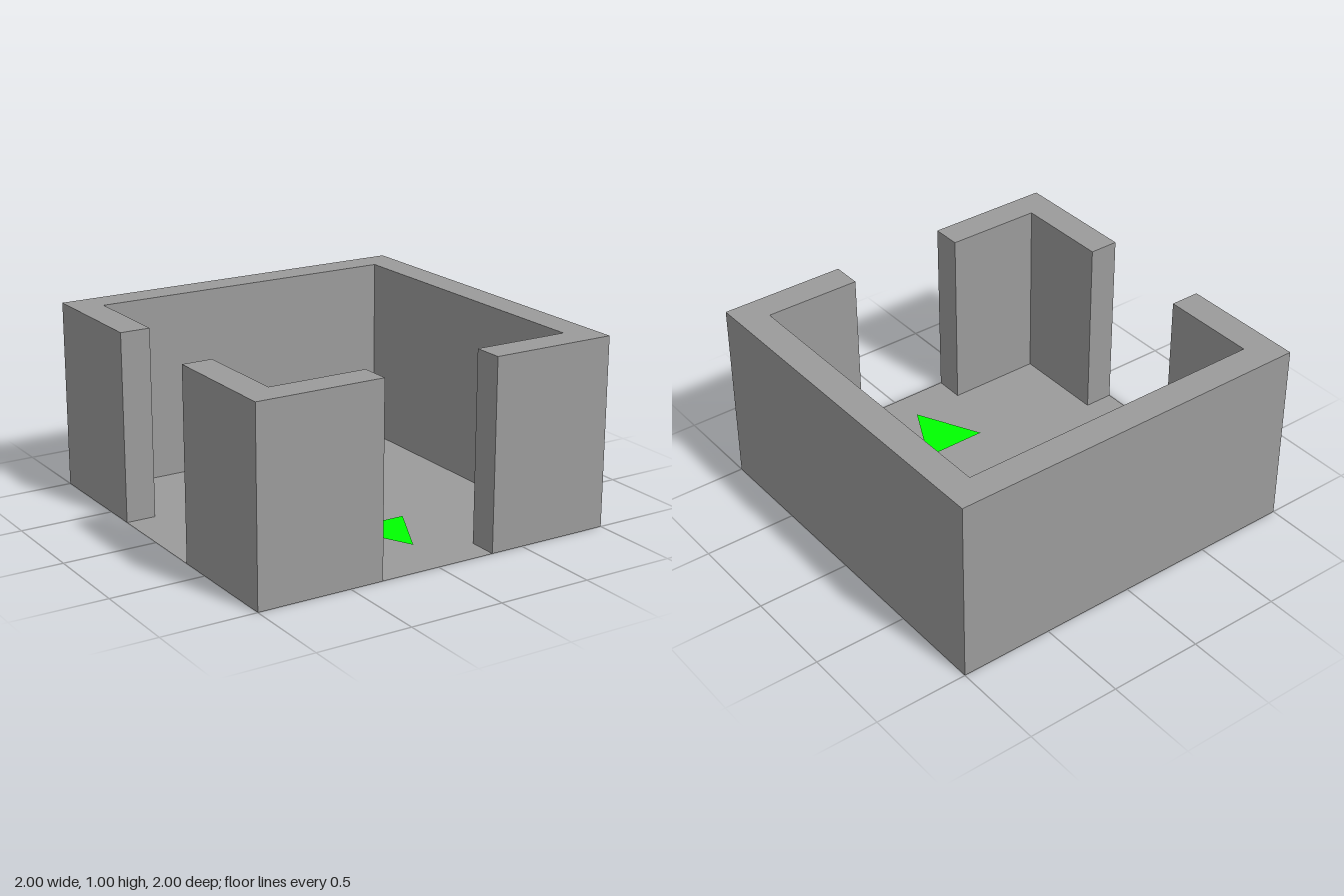
import * as THREE from 'three';

const HALF = 1, INNER = 0.84, DOOR = 0.32, HEIGHT = 1;

// Shape from [x, z] floor-plan points
const plan = (points) => new THREE.Shape(points.map(([x, z]) => new THREE.Vector2(x, -z)));

export function createModel() {
  const group = new THREE.Group();
  const wallGrey = new THREE.MeshStandardMaterial({ color: 0x9b9b9b, flatShading: true });
  const floorGrey = new THREE.MeshStandardMaterial({ color: 0x9b9b9b, side: THREE.DoubleSide });
  const green = new THREE.MeshStandardMaterial({ color: 0x00ff00, side: THREE.DoubleSide });

  // Lays a floor-plan geometry flat, facing up, at height y
  const add = (name, geometry, material, y = 0) => {
    const mesh = new THREE.Mesh(geometry.rotateX(-Math.PI / 2), material);
    mesh.name = name;
    mesh.position.y = y;
    group.add(mesh);
  };

  // Wall section extruded upwards from its floor plan
  const addWall = (name, points) =>
    add(name, new THREE.ExtrudeGeometry(plan(points), { depth: HEIGHT, bevelEnabled: false }), wallGrey);

  // Flat floor sheet
  add('floor', new THREE.PlaneGeometry(2 * HALF, 2 * HALF), floorGrey);

  // Long wall running from the front doorway round to the side doorway
  addWall('mainWall', [
    [DOOR, HALF], [HALF, HALF], [HALF, -HALF], [-HALF, -HALF], [-HALF, -DOOR],
    [-INNER, -DOOR], [-INNER, -INNER], [INNER, -INNER], [INNER, INNER], [DOOR, INNER],
  ]);

  // Corner wall between the two doorways
  addWall('cornerWall', [
    [-HALF, DOOR], [-HALF, HALF], [-DOOR, HALF], [-DOOR, INNER], [-INNER, INNER], [-INNER, DOOR],
  ]);

  // Flat arrow just above the floor, pointing out of the front doorway
  const arrow = plan([[-0.175, 0.435], [0, 0.785], [0.175, 0.435]]);
  add('floorArrow', new THREE.ShapeGeometry(arrow), green, 0.042);

  return group;
}
